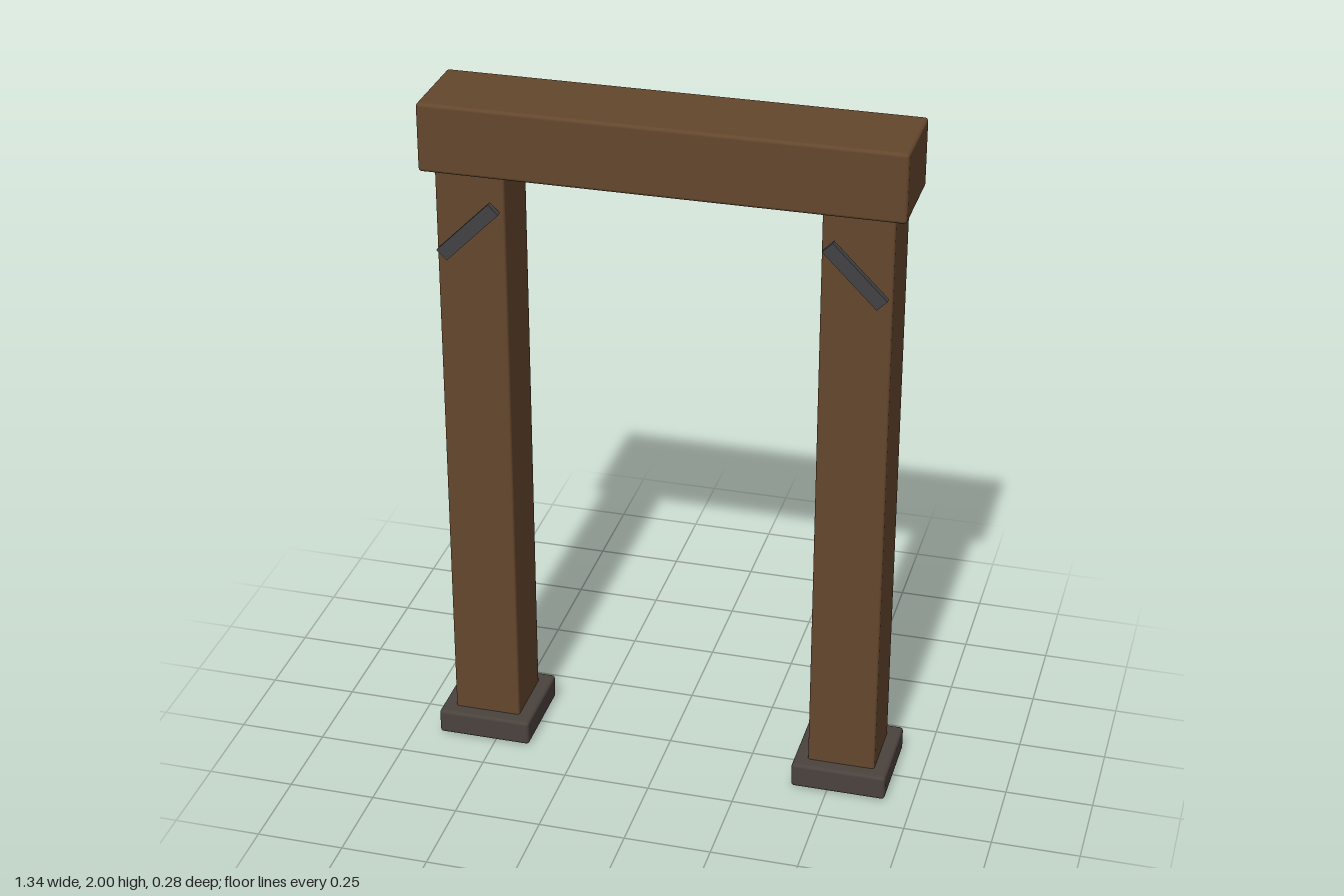
import * as THREE from 'three';
import { RoundedBoxGeometry } from 'three/addons/geometries/RoundedBoxGeometry.js';

function material(name, color) {
  const m = new THREE.MeshStandardMaterial({ color });
  m.name = name;
  return m;
}

export function createModel() {
  const group = new THREE.Group();
  group.name = 'timberGateway';
  const wood = material('brownWood', 0x64472d);
  const stone = material('darkStone', 0x4a423d);
  const iron = material('darkIron', 0x424246);

  // Box with softly bevelled edges
  function block(name, mat, size, position, bevel) {
    const mesh = new THREE.Mesh(new RoundedBoxGeometry(...size, 2, bevel), mat);
    mesh.name = name;
    mesh.position.set(...position);
    group.add(mesh);
    return mesh;
  }

  // Lintel across the top
  block('lintelBeam', wood, [1.33, 0.196, 0.264], [0, 1.902, 0], 0.01);

  for (const [side, s] of [['left', 1], ['right', -1]]) {
    const x = s * 0.533;
    // Post runs down through its footing to the ground
    block(side + 'Post', wood, [0.195, 1.803, 0.195], [x, 0.9015, 0], 0.008);
    block(side + 'Footing', stone, [0.275, 0.075, 0.275], [x, 0.0415, 0], 0.01);

    // Slanted iron strap in front of the post, rising towards the middle
    const strap = new THREE.Mesh(new THREE.BoxGeometry(0.213, 0.04, 0.018), iron);
    strap.name = side + 'Strap';
    strap.position.set(x, 1.639, 0.12);
    strap.rotation.z = -s * Math.PI / 4;
    group.add(strap);
  }
  return group;
}
